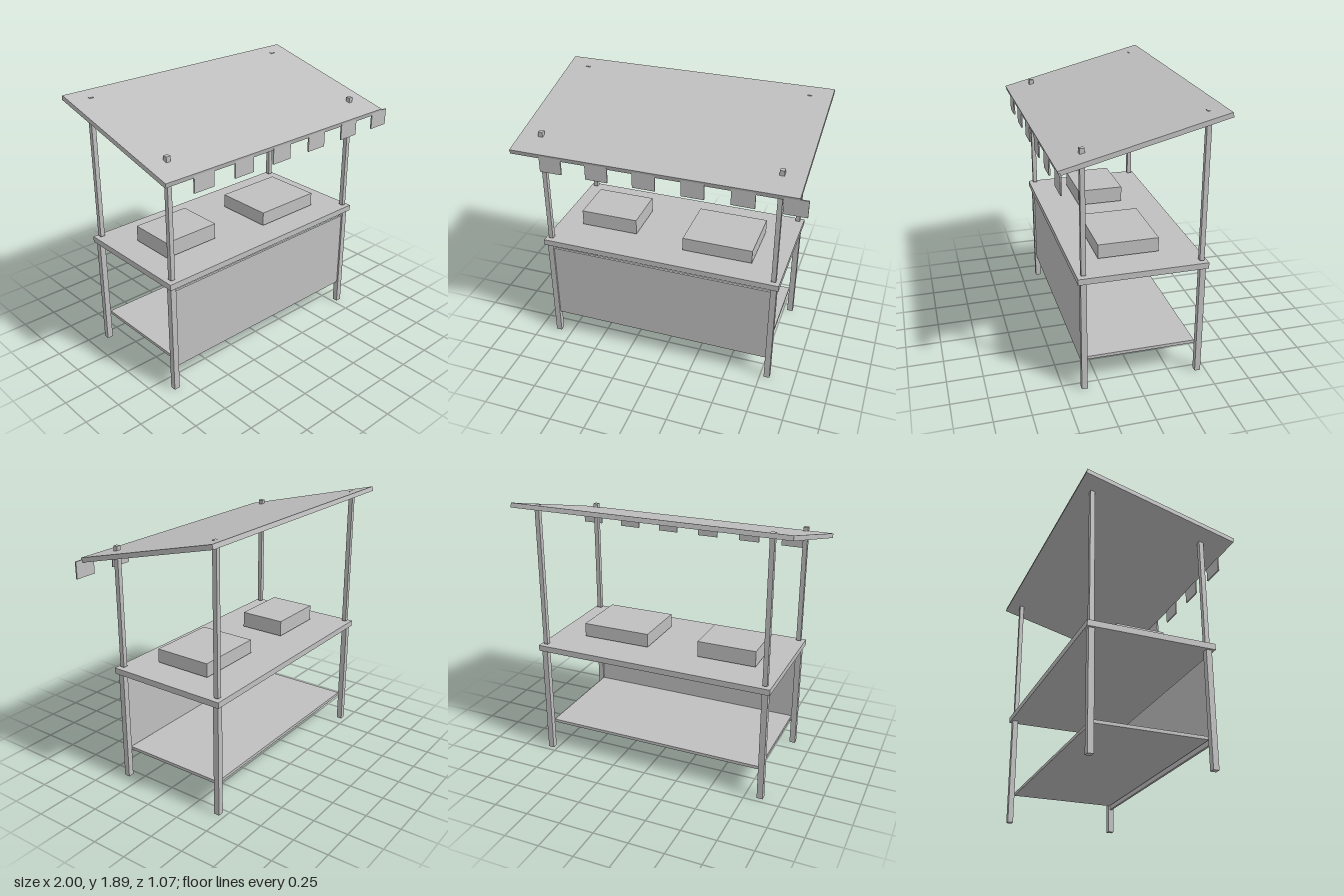
import * as THREE from 'three';

export function createModel() {
  const stall = new THREE.Group();
  stall.name = 'marketStall';
  const grey = new THREE.MeshStandardMaterial({ color: 0xbfbfbf });
  grey.name = 'plainGrey';

  // Box from its lower and upper corners
  function box(name, x0, x1, y0, y1, z0, z1) {
    const mesh = new THREE.Mesh(new THREE.BoxGeometry(x1 - x0, y1 - y0, z1 - z0), grey);
    mesh.position.set((x0 + x1) / 2, (y0 + y1) / 2, (z0 + z1) / 2);
    mesh.name = name;
    stall.add(mesh);
    return mesh;
  }

  const midX = -0.028; // centre line of the stall body

  // Counter, with shelf and front panel fitted between the legs
  box('counterTop', midX - 0.865, midX + 0.865, 0.803, 0.845, -0.48, 0.4);
  box('lowerShelf', midX - 0.807, midX + 0.807, 0.203, 0.225, -0.425, 0.345);
  box('frontPanel', midX - 0.807, midX + 0.807, 0.174, 0.762, 0.352, 0.368);

  // Legs below the counter and thinner posts above it
  for (const side of [-1, 1]) {
    for (const [end, legZ, postZ, postTop] of [['front', 0.36, 0.357, 1.7], ['back', -0.445, -0.44, 1.868]]) {
      const legX = midX + side * 0.828;
      const postX = midX + side * 0.822;
      box(end + 'Leg', legX - 0.021, legX + 0.021, 0, 0.803, legZ - 0.02, legZ + 0.02);
      box(end + 'Post', postX - 0.016, postX + 0.016, 0.853, postTop, postZ - 0.016, postZ + 0.016);
    }
  }

  // Sloping roof, high at the back
  const roof = box('roof', -1, 0.945, -0.016, 0.016, -0.549, 0.549);
  roof.position.y = 1.7405;
  roof.rotation.x = THREE.MathUtils.degToRad(14);

  // Hanging flaps along the front edge
  for (let i = 0; i < 6; i++) {
    const x = -0.711 + i * 0.3267;
    box('awningFlap', x - 0.0775, x + 0.0775, 1.495, 1.612, 0.523, 0.533);
  }

  // Goods crates on the counter
  box('smallCrate', -0.706, -0.283, 0.853, 0.967, -0.21, 0.125);
  box('largeCrate', 0.1, 0.604, 0.853, 0.952, -0.21, 0.21);

  return stall;
}
